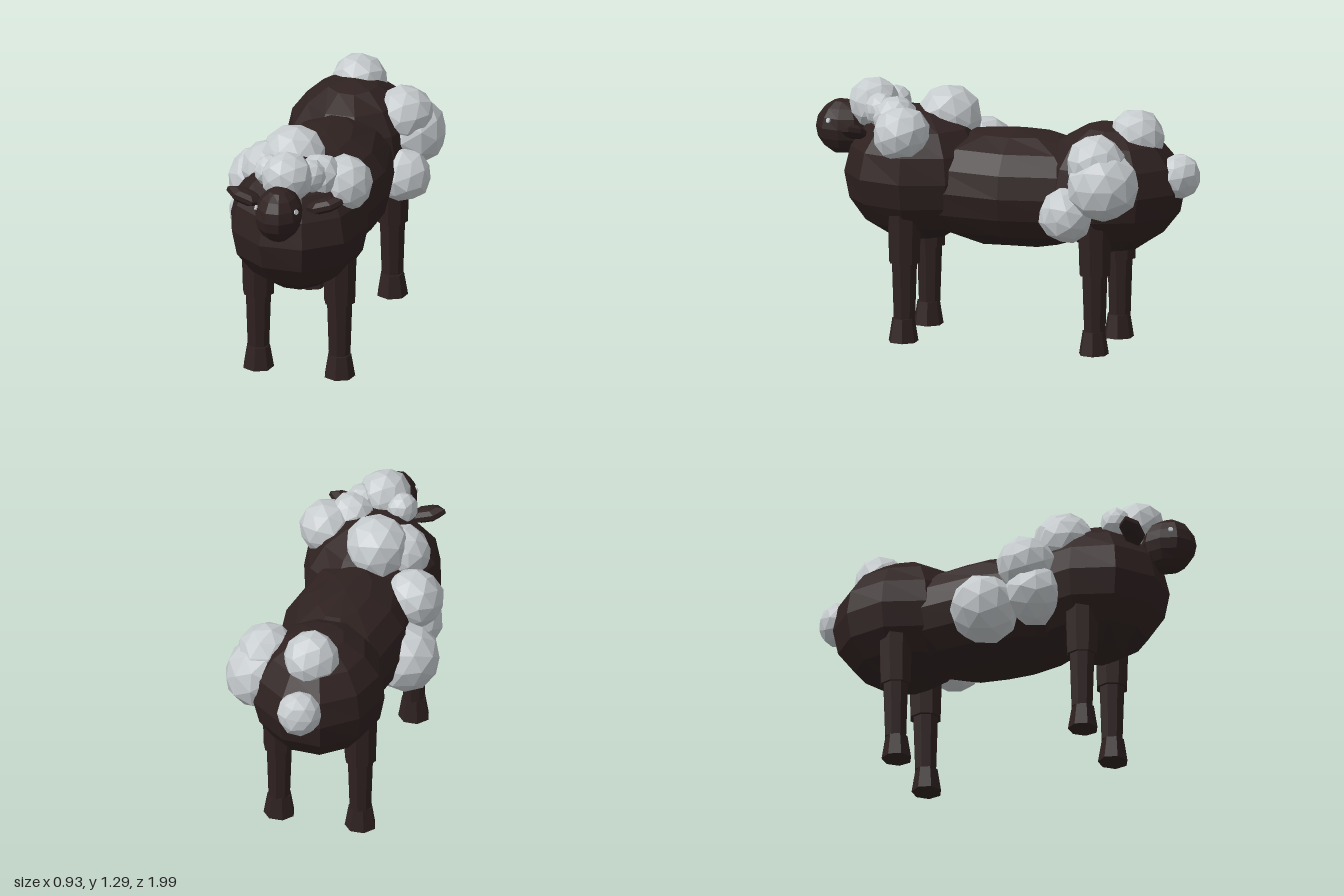
import * as THREE from 'three';

export function createModel() {
  const model = new THREE.Group();
  model.name = 'sheep';

  const mat = (name, color) => {
    const m = new THREE.MeshStandardMaterial({ color, flatShading: true });
    m.name = name;
    return m;
  };
  const hide = mat('dark brown hide', 0x2f2221);
  const wool = mat('pale grey wool', 0xc6cbce);

  // Push each vertex in or out by an amount that depends only on its position
  function roughen(geo, amount, seed) {
    const p = geo.attributes.position;
    const v = new THREE.Vector3();
    for (let i = 0; i < p.count; i++) {
      v.fromBufferAttribute(p, i);
      const k = [v.x, v.y, v.z].map((c) => Math.round(c * 1000) / 1000);
      const n = Math.sin(k[0] * 12.9 + k[1] * 78.2 + k[2] * 37.7 + seed * 5.3) * 437.5;
      v.multiplyScalar(1 + (n - Math.floor(n) - 0.5) * amount);
      p.setXYZ(i, v.x, v.y, v.z);
    }
    geo.computeVertexNormals();
    return geo;
  }

  function add(name, geo, material, pos, scale = [1, 1, 1], parent = model) {
    const mesh = new THREE.Mesh(geo, material);
    mesh.name = name;
    mesh.position.set(...pos);
    mesh.scale.set(...scale);
    parent.add(mesh);
    return mesh;
  }

  // Body: three overlapping faceted balls, plus the head
  const ball = (seed) => roughen(new THREE.SphereGeometry(1, 10, 8), 0.03, seed);
  add('chest', ball(1), hide, [0, 0.825, 0.465], [0.355, 0.345, 0.38]);
  add('belly', ball(2), hide, [0, 0.78, -0.04], [0.33, 0.3, 0.62]);
  add('rump', ball(3), hide, [0, 0.815, -0.54], [0.34, 0.33, 0.365]);
  add('head', ball(4), hide, [0, 1.03, 0.86], [0.12, 0.14, 0.145]);

  // Ears and eyes, mirrored
  for (const s of [1, -1]) {
    const side = s > 0 ? 'left' : 'right';
    const ear = add(side + 'Ear', new THREE.SphereGeometry(1, 6, 5), hide,
      [s * 0.205, 1.05, 0.745], [0.105, 0.037, 0.06]);
    ear.rotation.z = s * 0.33;
    const eye = add(side + 'Eye', new THREE.CylinderGeometry(0.013, 0.013, 0.008, 8), wool,
      [s * 0.104, 1.075, 0.912]);
    eye.quaternion.setFromUnitVectors(new THREE.Vector3(0, 1, 0),
      new THREE.Vector3(s * 0.8, 0.3, 0.5).normalize());
  }

  // Legs: thigh, shin and hoof
  for (const [end, z] of [['front', 0.48], ['back', -0.515]]) {
    for (const s of [1, -1]) {
      const leg = new THREE.Group();
      leg.name = end + (s > 0 ? 'Left' : 'Right') + 'Leg';
      leg.position.set(s * 0.21, 0, z);
      add('thigh', new THREE.CylinderGeometry(0.088, 0.08, 0.27, 8), hide, [0, 0.54, 0], [1, 1, 1], leg);
      add('shin', new THREE.CylinderGeometry(0.066, 0.056, 0.3, 8), hide, [0, 0.27, 0], [1, 1, 1], leg);
      add('hoof', new THREE.CylinderGeometry(0.06, 0.08, 0.118, 7), hide, [0, 0.059, 0.006], [1, 1, 0.95], leg);
      model.add(leg);
    }
  }

  // Wool tufts: x, y, z, radius
  const tufts = [
    [0.29, 0.88, -0.585, 0.182], [0.27, 0.98, -0.54, 0.152], [0.3, 0.72, -0.395, 0.14],
    [0, 1.075, -0.67, 0.142], [0, 0.89, -0.888, 0.113],
    [0.235, 1.06, 0.485, 0.145], [0.13, 1.115, 0.55, 0.115],
    [0, 1.16, 0.7, 0.132], [-0.11, 1.15, 0.625, 0.08], [0.1, 1.15, 0.635, 0.085],
    [-0.065, 1.095, 0.335, 0.168], [-0.18, 1.055, 0.39, 0.14],
    [-0.285, 0.91, 0.215, 0.152], [-0.27, 0.75, 0.25, 0.155], [-0.3, 0.7, -0.005, 0.178],
  ];
  const fleece = new THREE.Group();
  fleece.name = 'fleece';
  tufts.forEach(([x, y, z, r], i) => {
    const geo = roughen(new THREE.IcosahedronGeometry(1, 1), 0.08, i + 10);
    const tuft = add('woolTuft' + (i + 1), geo, wool, [x, y, z], [r, r, r], fleece);
    tuft.rotation.set(i * 1.3, i * 2.1, i * 0.7);
  });
  model.add(fleece);

  return model;
}
